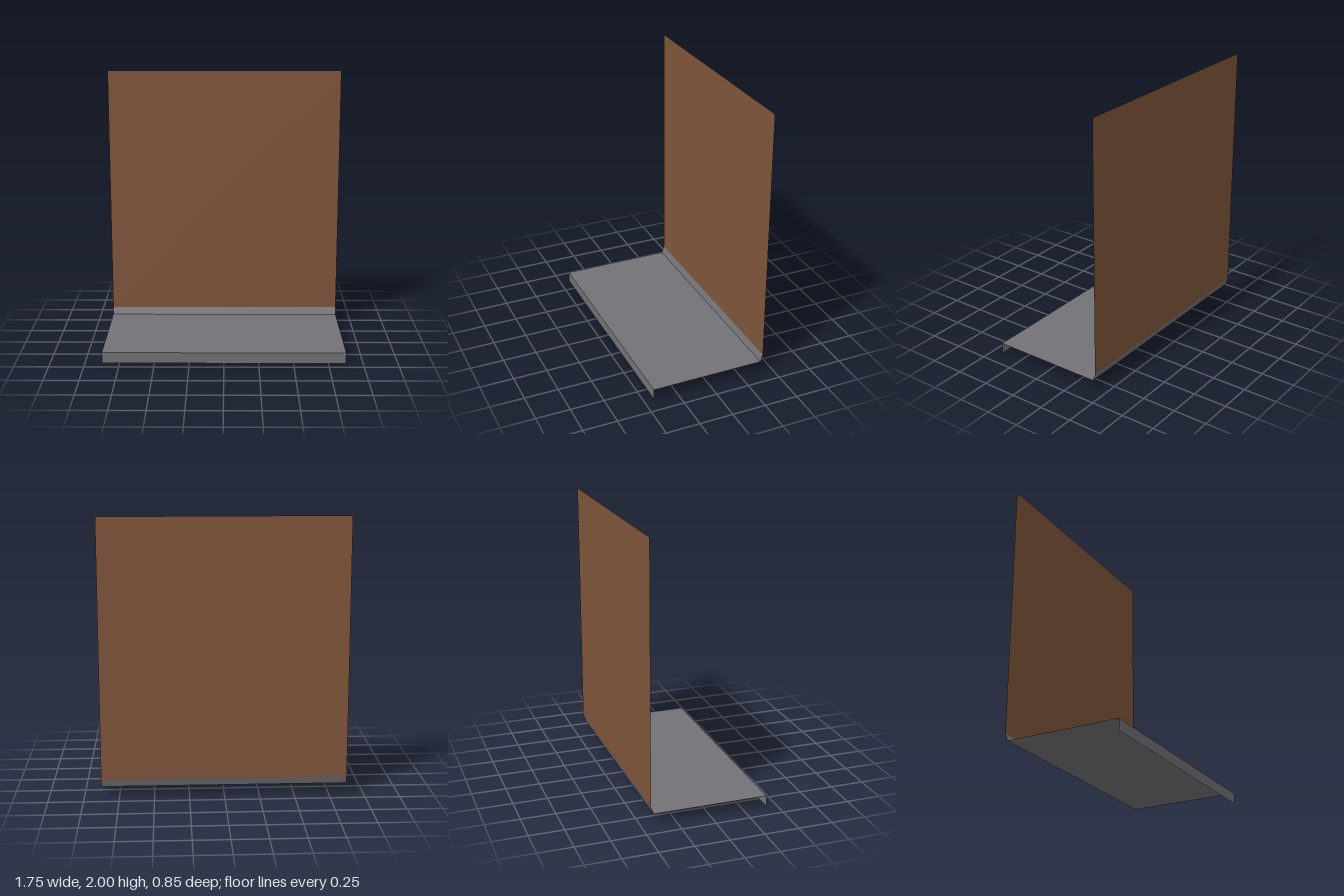
import * as THREE from 'three';

const HALF_WIDTH = 0.877;

// Thin sheet spanning the full width between two (z, y) profile points
function sheet(name, [z0, y0], [z1, y1], material) {
  const w = HALF_WIDTH;
  const geometry = new THREE.BufferGeometry();
  geometry.setAttribute('position', new THREE.Float32BufferAttribute([
    -w, y0, z0, w, y0, z0, w, y1, z1, -w, y1, z1,
  ], 3));
  geometry.setIndex([0, 1, 2, 0, 2, 3]);
  geometry.computeVertexNormals();
  const mesh = new THREE.Mesh(geometry, material);
  mesh.name = name;
  return mesh;
}

export function createModel() {
  const brown = new THREE.MeshStandardMaterial({ color: 0x80553a, side: THREE.DoubleSide });
  brown.name = 'brown panel';
  const grey = new THREE.MeshStandardMaterial({ color: 0x737277, side: THREE.DoubleSide });
  grey.name = 'grey metal';

  // Profile points as (z, y), from front to back
  const lipBottom = [0.426, 0];
  const shelfFront = [0.426, 0.08];
  const shelfBack = [-0.41, 0.08];
  const flangeTop = [-0.428, 0.135];
  const wallTop = [-0.428, 2];

  const model = new THREE.Group();
  model.name = 'wallWithLedge';
  model.add(
    sheet('frontLip', lipBottom, shelfFront, grey),
    sheet('ledge', shelfFront, shelfBack, grey),
    sheet('slantedFlange', shelfBack, flangeTop, grey),
    sheet('wallPanel', flangeTop, wallTop, brown),
  );
  return model;
}
